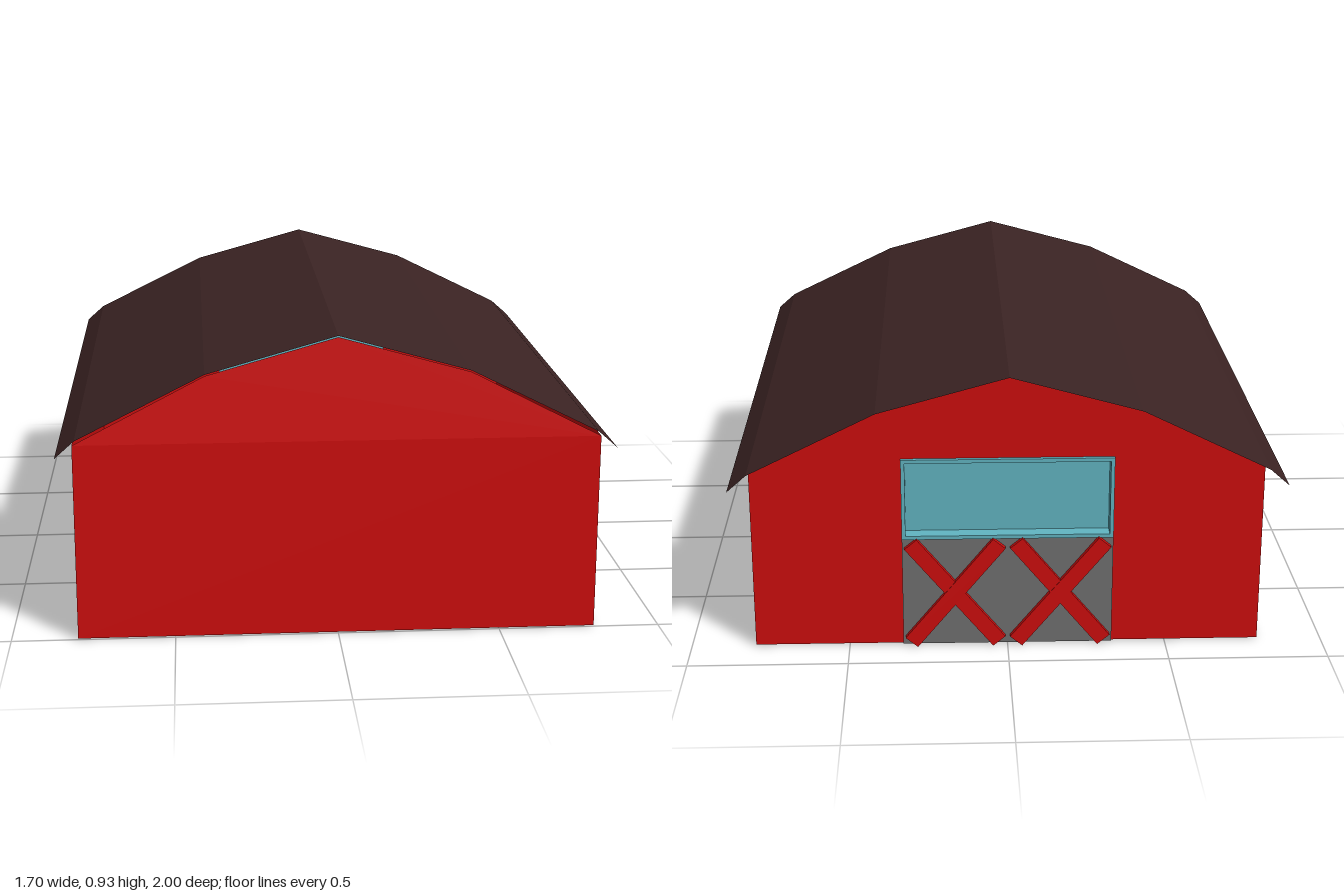
import * as THREE from 'three';

const material = (name, color) => {
  const m = new THREE.MeshStandardMaterial({ color, flatShading: true, side: THREE.DoubleSide });
  m.name = name;
  return m;
};

// Half profile of the roof from ridge to eave: x, y
const HALF = [[0, 0.927], [0.4, 0.817], [0.79, 0.625], [0.85, 0.572]];
const WALL = 0.797, EAVE = 0.612, BACK = -0.868;
// The front gable leans back above the eaves
const frontZ = (y) => 1 - 0.032 * Math.max(0, (y - EAVE) / 0.315);

export function createModel() {
  const group = new THREE.Group();
  group.name = 'barn';
  const red = material('barn red', 0xd00d0d);
  const brown = material('roof brown', 0x3b2323);
  const teal = material('window teal', 0x62b6c3);
  const grey = material('door grey', 0x707070);

  const add = (name, geometry, mat, x = 0, y = 0, z = 0, parent = group) => {
    const mesh = new THREE.Mesh(geometry, mat);
    mesh.name = name;
    mesh.position.set(x, y, z);
    parent.add(mesh);
    return mesh;
  };
  const shapeOf = (points) => new THREE.Shape(points.map(([x, y]) => new THREE.Vector2(x, y)));

  // Roof: folded sheet swept from front to back
  const profile = [...HALF.slice(1).reverse().map(([x, y]) => [-x, y]), ...HALF];
  const strip = [];
  for (let i = 0; i < profile.length - 1; i++) {
    const corners = [profile[i], profile[i + 1]].map(([x, y]) => {
      const rear = -1 + 0.005 * (0.927 - y) / 0.355;
      return [[x, y, frontZ(y)], [x, y, rear]];
    });
    const [[a, d], [b, c]] = corners;
    strip.push(...a, ...b, ...c, ...a, ...c, ...d);
  }
  const roof = new THREE.BufferGeometry();
  roof.setAttribute('position', new THREE.Float32BufferAttribute(strip, 3));
  roof.computeVertexNormals();
  add('roof', roof, brown);

  // Side walls
  for (const s of [-1, 1]) {
    const side = new THREE.PlaneGeometry(1 - BACK, EAVE).rotateY(s * Math.PI / 2);
    add(s > 0 ? 'leftWall' : 'rightWall', side, red, s * WALL, EAVE / 2, (1 + BACK) / 2);
  }

  // Front wall: upright lower part and leaning gable
  const gable = [[WALL, EAVE], [0.4, 0.813], [0, 0.923], [-0.4, 0.813], [-WALL, EAVE]];
  add('frontWall', new THREE.PlaneGeometry(2 * WALL, EAVE), red, 0, EAVE / 2, 1);
  const top = new THREE.ShapeGeometry(shapeOf(gable));
  const p = top.attributes.position;
  for (let i = 0; i < p.count; i++) p.setZ(i, frontZ(p.getY(i)));
  top.computeVertexNormals();
  add('frontGable', top, red);

  // Back wall with a window opening
  const W = 0.33, Y0 = 0.36, Y1 = 0.625;
  const back = shapeOf([[-WALL, 0], [WALL, 0], ...gable]);
  back.holes.push(shapeOf([[-W, Y0], [-W, Y1], [W, Y1], [W, Y0]]));
  const backGeometry = new THREE.ShapeGeometry(back).rotateY(Math.PI);
  add('backWall', backGeometry, red, 0, 0, BACK);

  // Recessed window with a thin deep frame
  const win = new THREE.Group();
  win.name = 'window';
  group.add(win);
  const T = 0.012, D = 0.05, ZF = BACK + 0.012, YM = (Y0 + Y1) / 2;
  add('glass', new THREE.BoxGeometry(2 * W, Y1 - Y0, 0.006), teal, 0, YM, ZF + D / 2, win);
  for (const s of [-1, 1]) {
    add('frameSide', new THREE.BoxGeometry(T, Y1 - Y0, D), teal, s * (W - T / 2), YM, ZF, win);
    add('frameRail', new THREE.BoxGeometry(2 * W, T, D), teal, 0, YM + s * ((Y1 - Y0) / 2 - T / 2), ZF, win);
  }

  // Double door with crossed braces
  const door = new THREE.Group();
  door.name = 'door';
  group.add(door);
  add('doorPanel', new THREE.BoxGeometry(2 * W, Y0, 0.008), grey, 0, Y0 / 2, BACK - 0.004, door);
  for (const x of [-W / 2, W / 2]) {
    for (const s of [-1, 1]) {
      const brace = new THREE.BoxGeometry(0.05, 0.435, 0.02);
      add('brace', brace, red, x, Y0 / 2, BACK - 0.014 - (s > 0 ? 0.002 : 0), door).rotation.z = s * 0.69;
    }
  }
  return group;
}
